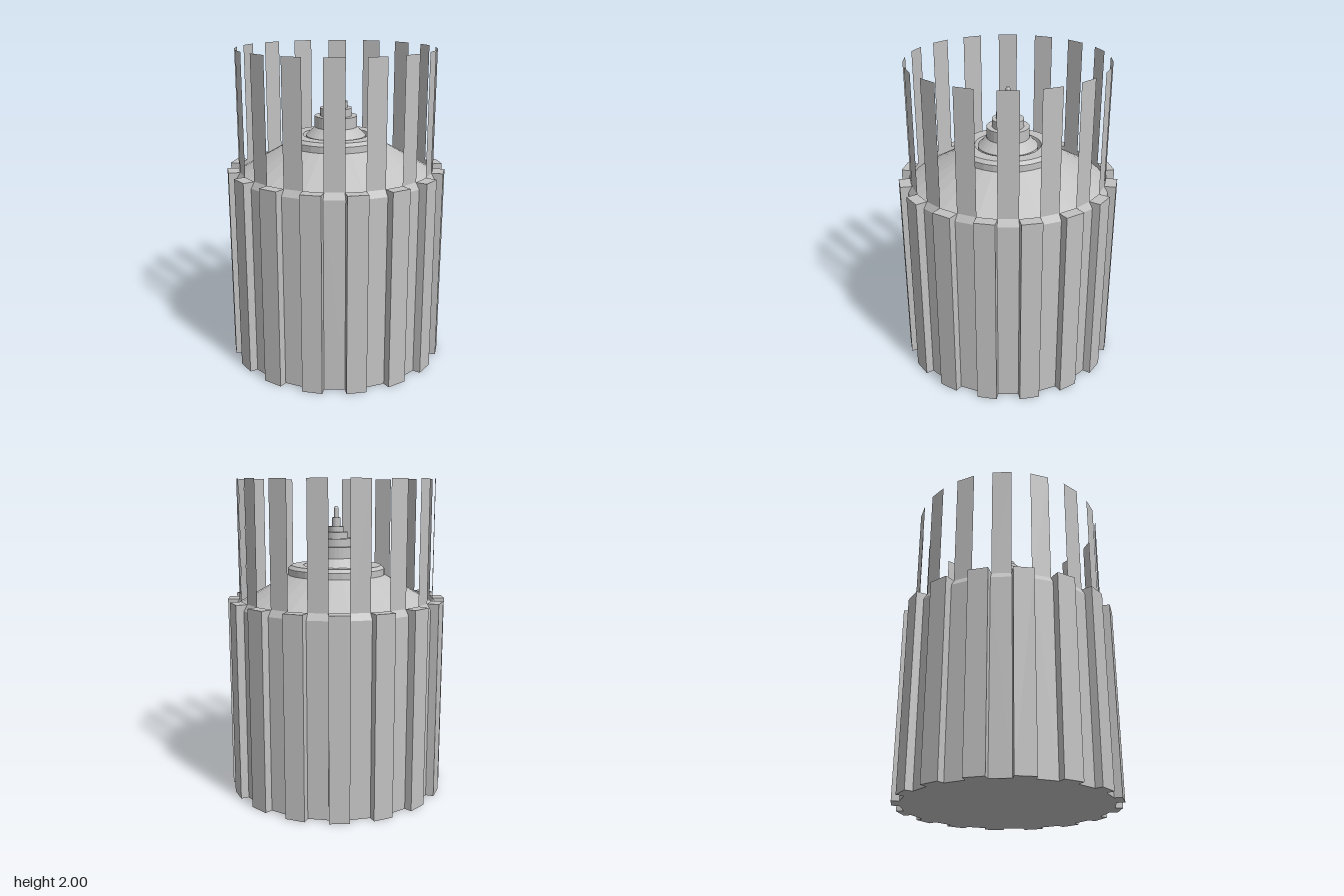
import * as THREE from 'three';

const SIDES = 32;
const STEP = (Math.PI * 2) / SIDES;

export function createModel() {
  const group = new THREE.Group();
  const grey = new THREE.MeshStandardMaterial({ color: 0xc2c2c2, flatShading: true, side: THREE.DoubleSide });
  grey.name = 'grey';

  const add = (name, geometry, angle = 0) => {
    const mesh = new THREE.Mesh(geometry, grey);
    mesh.name = name;
    mesh.rotation.y = angle;
    group.add(mesh);
  };
  const lathe = (name, points) =>
    add(name, new THREE.LatheGeometry(points.map(([r, y]) => new THREE.Vector2(r, y)), SIDES));

  // Drum with a chamfered rim
  lathe('drum', [[0, 0], [0.645, 0], [0.645, 1.21], [0.622, 1.25], [0.622, 1.22]]);

  // Conical roof, raised collar and the groove inside it
  lathe('roof', [[0.622, 1.22], [0.31, 1.4]]);
  lathe('collar', [[0.31, 1.4], [0.31, 1.44], [0.287, 1.46], [0.21, 1.46], [0.19, 1.4], [0.18, 1.4]]);

  // Stepped spire
  lathe('spire', [
    [0.19, 1.4], [0.19, 1.455], [0.135, 1.51], [0.135, 1.58], [0.1, 1.58], [0.1, 1.63],
    [0.073, 1.63], [0.073, 1.67], [0.048, 1.67], [0.048, 1.705], [0.026, 1.705],
    [0.026, 1.76], [0.014, 1.76], [0.014, 1.82], [0.008, 1.83], [0, 1.83],
  ]);

  // Ribs on every other face of the drum, tall thin panels on the faces between
  const inner = 0.622 * Math.cos(STEP / 2);
  const outer = 0.692;
  const rib = new THREE.BoxGeometry(0.125, 1.25, outer - inner).translate(0, 0.625, (outer + inner) / 2);
  const panel = new THREE.PlaneGeometry(2 * 0.622 * Math.sin(STEP / 2), 0.78).translate(0, 1.61, inner);
  for (let i = 0; i < SIDES; i += 2) {
    add('rib', rib, (i + 0.5) * STEP);
    add('panel', panel, (i + 1.5) * STEP);
  }
  return group;
}
